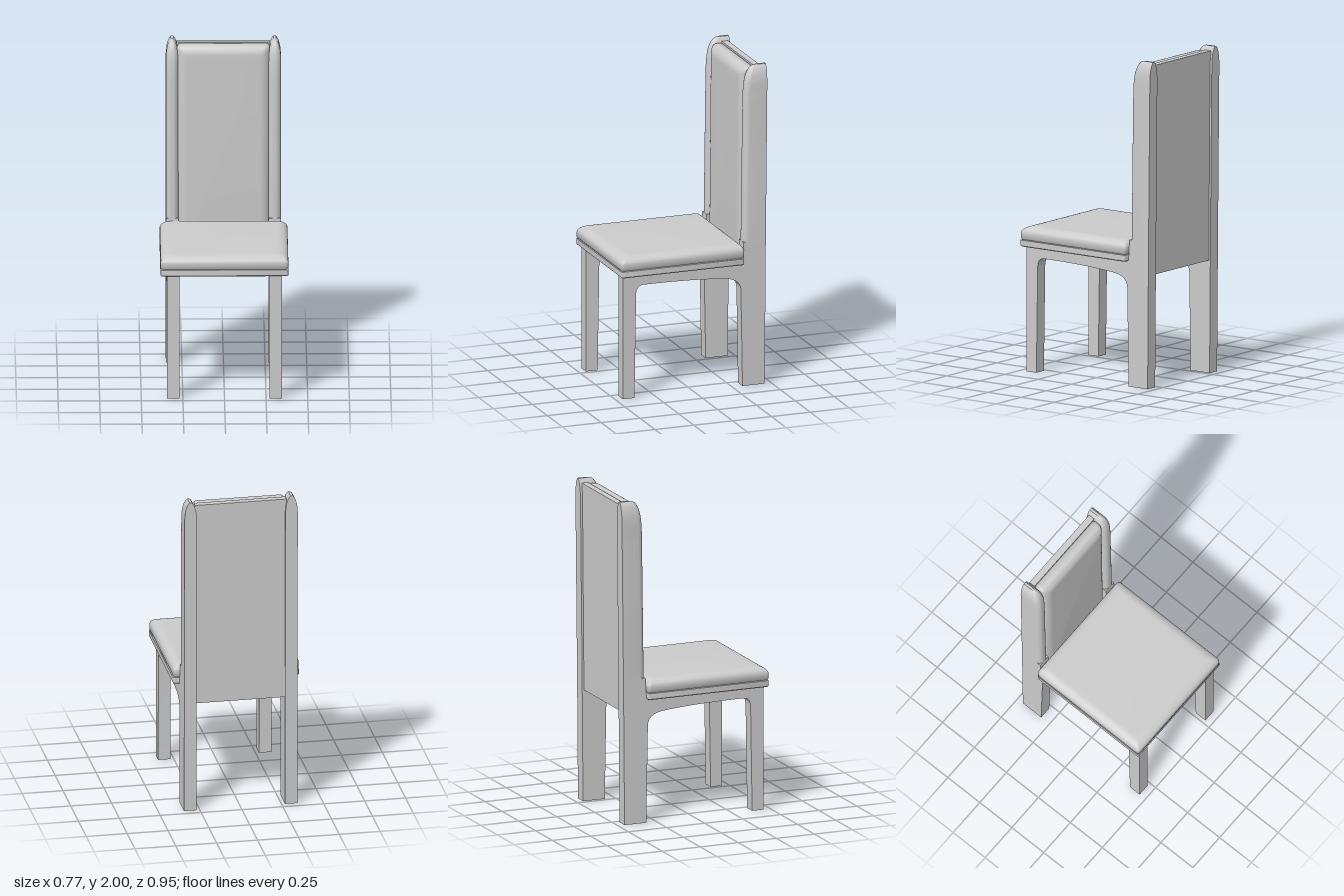
import * as THREE from 'three';
import { toCreasedNormals } from 'three/addons/utils/BufferGeometryUtils.js';

const material = new THREE.MeshStandardMaterial({ color: 0xcccccc });

function addMesh(parent, name, geometry, crease = 0.6) {
  const mesh = new THREE.Mesh(toCreasedNormals(geometry, crease), material);
  mesh.name = name;
  parent.add(mesh);
  return mesh;
}

// Closed solid from counter-clockwise rings of [x, y, z], stacked along +z
function loft(rings) {
  const n = rings[0].length;
  const positions = rings.flat(2);
  const index = [];
  rings.slice(1).forEach((_, r) => {
    for (let i = 0; i < n; i++) {
      const a = r * n + i, b = r * n + (i + 1) % n;
      index.push(a, b, b + n, a, b + n, a + n);
    }
  });
  const last = (rings.length - 1) * n;
  for (let i = 1; i < n - 1; i++) {
    index.push(0, i + 1, i, last, last + i, last + i + 1);
  }
  const geometry = new THREE.BufferGeometry();
  geometry.setAttribute('position', new THREE.Float32BufferAttribute(positions, 3));
  geometry.setIndex(index);
  return geometry;
}

// Rounded rectangle ring
function rectRing(halfW, halfH, radius, z, offset = 0) {
  const ring = [];
  [[1, 1], [-1, 1], [-1, -1], [1, -1]].forEach(([sx, sy], corner) => {
    for (let i = 0; i <= 6; i++) {
      const a = (corner + i / 6) * Math.PI / 2;
      ring.push([sx * (halfW - radius) + radius * Math.cos(a),
        sy * (halfH - radius) + radius * Math.sin(a) + offset, z]);
    }
  });
  return ring;
}

// Padded slab: straight sides, softly domed edge towards +z
function cushion(halfW, halfH, depth, domeH, inset, shift) {
  const rings = [
    rectRing(halfW - 0.008, halfH - 0.008, 0.015, 0),
    rectRing(halfW, halfH, 0.02, 0.01),
  ];
  for (let i = 0; i <= 10; i++) {
    const a = (i / 10) * Math.PI / 2;
    const d = inset * (1 - Math.cos(a));
    rings.push(rectRing(halfW - d, halfH - d, 0.02, depth - domeH * (1 - Math.sin(a)), shift * d));
  }
  return loft(rings);
}

// Front leg, arched rail and lower back leg in one piece
function sideFrame() {
  const s = new THREE.Shape();
  s.moveTo(-0.455, 0);
  s.lineTo(-0.38, 0);
  s.lineTo(-0.37, 0.65);
  s.quadraticCurveTo(-0.368, 0.705, -0.32, 0.705);
  s.bezierCurveTo(-0.1, 0.705, 0.05, 0.7, 0.2, 0.685);
  s.quadraticCurveTo(0.305, 0.675, 0.305, 0.6);
  s.lineTo(0.315, 0);
  s.lineTo(0.458, 0);
  s.lineTo(0.465, 0.9);
  s.lineTo(0.322, 0.9);
  s.lineTo(0.316, 0.8);
  s.quadraticCurveTo(0.313, 0.768, 0.27, 0.768);
  s.lineTo(-0.455, 0.772);
  const g = new THREE.ExtrudeGeometry(s, { depth: 0.075, bevelEnabled: false, curveSegments: 10 });
  return g.translate(0, 0, -0.0375).rotateY(Math.PI / 2);
}

// Upper post: flat back, rounded front, tapering to a bullet-shaped top
function upperPost() {
  const heights = [0.88, 1.2, 1.5, 1.7];
  for (let i = 1; i <= 14; i++) heights.push(1.7 + 0.3 * Math.sin((i / 14) * Math.PI / 2));
  const rings = heights.map((y) => {
    const t = (y - 0.88) / 1.12;
    const k = Math.min(1, Math.max(0, (y - 1.7) / 0.3));
    const front = 0.32 + 0.014 * t + 0.07 * (1 - Math.sqrt(1 - k ** 4));
    const back = 0.465 + 0.011 * t;
    const c = Math.max(0, (y - 1.88) / 0.12);
    const w = Math.max(0.008, 0.0375 * Math.sqrt(Math.max(0, 1 - c * c)));
    const ring = [[w, back, y], [-w, back, y]];
    for (let i = 0; i <= 16; i++) {
      const a = Math.PI * (1 + i / 16);
      ring.push([w * Math.cos(a), front + 0.035 + 0.035 * Math.sin(a), y]);
    }
    return ring;
  });
  return loft(rings).rotateX(-Math.PI / 2);
}

export function createModel() {
  const chair = new THREE.Group();
  chair.name = 'chair';

  // Mirrored side frames
  for (const [side, name] of [[1, 'left'], [-1, 'right']]) {
    const frame = new THREE.Group();
    frame.name = name + 'SideFrame';
    frame.position.x = side * 0.3085;
    addMesh(frame, name + 'LegsAndRail', sideFrame());
    addMesh(frame, name + 'BackPost', upperPost(), 0.9);
    chair.add(frame);
  }

  // Seat board and its cushion
  addMesh(chair, 'seatBoard', loft([
    rectRing(0.38, 0.39, 0.012, 0),
    rectRing(0.385, 0.395, 0.012, 0.005),
    rectRing(0.385, 0.395, 0.012, 0.04),
  ]).rotateX(-Math.PI / 2)).position.set(0, 0.769, 0.08);
  addMesh(chair, 'seatCushion',
    cushion(0.384, 0.398, 0.084, 0.045, 0.06, 0.3).rotateX(-Math.PI / 2), 0.9)
    .position.set(0, 0.811, 0.08);

  // Back panel, leaning slightly with the posts
  const panel = new THREE.BoxGeometry(0.56, 1.285, 0.04);
  addMesh(chair, 'backPanel', panel.rotateX(-0.008)).position.set(0, 1.333, -0.437);

  // Back cushion
  addMesh(chair, 'backCushion',
    cushion(0.278, 0.639, 0.088, 0.05, 0.06, 0).rotateX(-0.008), 0.9)
    .position.set(0, 1.333, -0.417);

  return chair;
}
